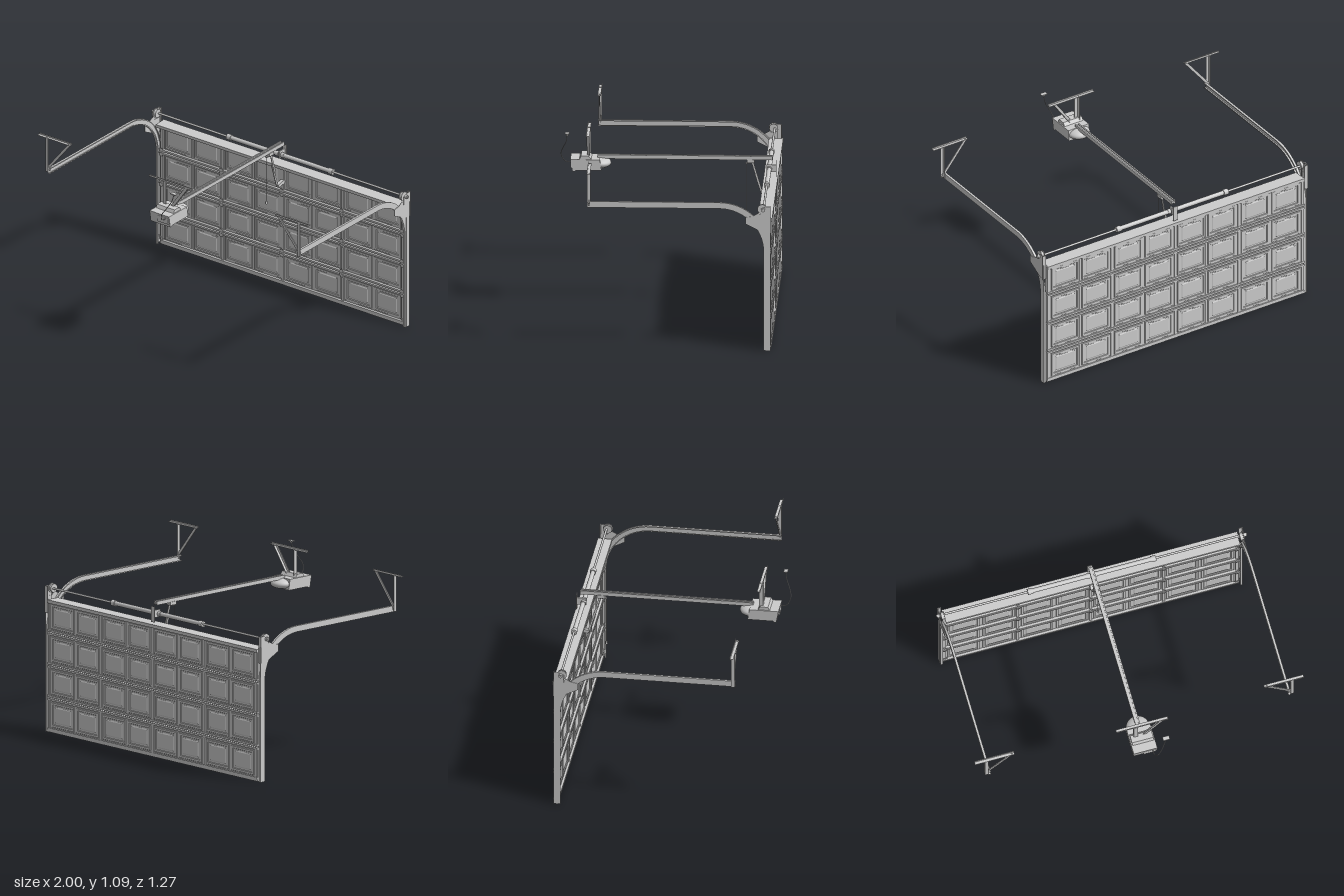
import * as THREE from 'three';
import { toCreasedNormals } from 'three/addons/utils/BufferGeometryUtils.js';

const grey = new THREE.MeshStandardMaterial({ color: 0xcccccc, side: THREE.DoubleSide });
const V = (x, y, z) => new THREE.Vector3(x, y, z);

function add(parent, name, geo, x = 0, y = 0, z = 0) {
  const m = new THREE.Mesh(geo, grey);
  m.name = name;
  m.position.set(x, y, z);
  parent.add(m);
  return m;
}
function group(parent, name) {
  const g = new THREE.Group();
  g.name = name;
  parent.add(g);
  return g;
}
// Box given by its limits on each axis
function box(parent, name, x0, x1, y0, y1, z0, z1) {
  return add(parent, name, new THREE.BoxGeometry(x1 - x0, y1 - y0, z1 - z0),
    (x0 + x1) / 2, (y0 + y1) / 2, (z0 + z1) / 2);
}
// Cylinder lying along x
function rod(parent, name, x0, x1, y, z, r0, r1 = r0, sides = 20) {
  const geo = new THREE.CylinderGeometry(r1, r0, x1 - x0, sides).rotateZ(-Math.PI / 2);
  return add(parent, name, geo, (x0 + x1) / 2, y, z);
}
const poly = pts => new THREE.Shape(pts.map(p => new THREE.Vector2(...p)));
const rect = (w, h) => poly([[-w / 2, -h / 2], [w / 2, -h / 2], [w / 2, h / 2], [-w / 2, h / 2]]);

// Plate outlined in (z, y), thick along x between x0 and x1
function sidePlate(parent, name, pts, x0, x1) {
  const geo = new THREE.ExtrudeGeometry(poly(pts.map(([z, y]) => [-z, y])), { depth: x1 - x0, bevelEnabled: false });
  return add(parent, name, geo.rotateY(Math.PI / 2), x0, 0, 0);
}
// L-section bar from a to b
function angleBar(parent, name, a, b, w = 0.02, h = 0.02, t = 0.003) {
  const s = poly([[-w / 2, -h / 2], [w / 2, -h / 2], [w / 2, -h / 2 + t], [-w / 2 + t, -h / 2 + t], [-w / 2 + t, h / 2], [-w / 2, h / 2]]);
  const m = add(parent, name, new THREE.ExtrudeGeometry(s, { depth: a.distanceTo(b), bevelEnabled: false }), a.x, a.y, a.z);
  m.lookAt(b);
  return m;
}
function strap(parent, name, a, b, w, d) {
  const m = add(parent, name, new THREE.BoxGeometry(w, a.distanceTo(b), d));
  m.position.copy(a).lerp(b, 0.5);
  m.quaternion.setFromUnitVectors(V(0, 1, 0), b.clone().sub(a).normalize());
  return m;
}

// Channel section swept up the wall, round the bend and back along the ceiling
function trackGeometry(side) {
  const section = [[0.905, -0.011], [0.905, -0.018], [0.919, -0.018], [0.919, 0.018], [0.905, 0.018], [0.905, 0.011]];
  const zc = -0.325, yc = 0.598, r = 0.279, path = [[-0.604, 0, 0]];
  for (let i = 0; i <= 16; i++) {
    const a = i / 16 * Math.PI / 2;
    path.push([zc - r * Math.cos(a), yc + r * Math.sin(a), a]);
  }
  path.push([0.45, yc + r, Math.PI / 2]);
  const pos = [], idx = [], n = section.length;
  path.forEach(([z, y, a], i) => section.forEach(([x, o], j) => {
    pos.push(side * x, y + o * Math.sin(a), z - o * Math.cos(a));
    if (i && j) {
      const p = i * n + j, q = p - n;
      if (side > 0) idx.push(q - 1, p - 1, p, q - 1, p, q);
      else idx.push(q - 1, p, p - 1, q - 1, q, p);
    }
  }));
  const geo = new THREE.BufferGeometry();
  geo.setAttribute('position', new THREE.Float32BufferAttribute(pos, 3));
  geo.setIndex(idx);
  return toCreasedNormals(geo, 0.5);
}

function addDoor(root) {
  const door = group(root, 'door');
  const ring = rect(0.192, 0.145);
  ring.holes.push(rect(0.168, 0.121));
  const ringGeo = new THREE.ExtrudeGeometry(ring, { depth: 0.003, bevelEnabled: true, bevelThickness: 0.002, bevelSize: 0.002, bevelSegments: 1 });
  const fieldGeo = new THREE.ExtrudeGeometry(rect(0.125, 0.085), { depth: 0.001, bevelEnabled: true, bevelThickness: 0.003, bevelSize: 0.006, bevelSegments: 1 });
  const H = 0.1965;
  for (let row = 0; row < 4; row++) {
    const sec = group(door, 'doorSection'), y0 = 0.012 + row * H, y1 = y0 + H;
    box(sec, 'sectionSkin', -0.9, 0.9, y0 + 0.003, y1 - 0.003, -0.624, -0.613);
    // Raised panels on both faces
    for (const bay of [-0.665, -0.218, 0.223, 0.665]) for (const s of [-1, 1]) {
      const x = bay + s * 0.107, y = y0 + H / 2;
      for (const [geo, name] of [[ringGeo, 'panelFrame'], [fieldGeo, 'panelField']]) {
        add(sec, name, geo, x, y, -0.613);
        add(sec, name, geo, x, y, -0.624).rotation.y = Math.PI;
      }
    }
    // Edge rails, stiles and back lips
    for (const y of [y0 + 0.004, y1 - 0.016]) {
      box(sec, 'edgeRail', -0.9, 0.9, y, y + 0.012, -0.613, -0.597);
      box(sec, 'backLip', -0.9, 0.9, y, y + 0.012, -0.631, -0.624);
    }
    for (const x of [-0.89, -0.444, 0, 0.444, 0.89]) {
      box(sec, 'stile', x - 0.009, x + 0.009, y0 + 0.016, y1 - 0.016, -0.613, -0.604);
      box(sec, 'backStile', x - 0.008, x + 0.008, y0 + 0.016, y1 - 0.016, -0.629, -0.624);
      // Hinges and rollers across each joint
      if (row < 3) {
        box(sec, 'hingeLeaf', x - 0.011, x + 0.011, y1 - 0.025, y1 + 0.025, -0.597, -0.594);
        rod(sec, 'hingePin', x - 0.012, x + 0.012, y1, -0.593, 0.005, 0.005, 10);
      }
    }
    for (const s of [-1, 1]) {
      const yr = row ? y0 : 0.04;
      rod(sec, 'rollerStem', s < 0 ? -0.914 : 0.87, s < 0 ? -0.87 : 0.914, yr, -0.604, 0.003, 0.003, 8);
      rod(sec, 'roller', s * 0.912 - 0.004, s * 0.912 + 0.004, yr, -0.604, 0.012);
    }
  }
  box(door, 'bottomSeal', -0.9, 0.9, 0.002, 0.016, -0.626, -0.6);
  // Deep stiffener along the top edge
  box(door, 'topStrutWeb', -0.895, 0.895, 0.793, 0.797, -0.634, -0.552);
  box(door, 'topStrutLip', -0.895, 0.895, 0.778, 0.797, -0.555, -0.551);
  box(door, 'topBackLip', -0.9, 0.9, 0.777, 0.797, -0.635, -0.624);
}

function addSide(root, s) {
  const g = group(root, s > 0 ? 'leftTrackAssembly' : 'rightTrackAssembly');
  const sb = (name, x0, x1, ...r) => box(g, name, Math.min(s * x0, s * x1), Math.max(s * x0, s * x1), ...r);
  const plate = (name, pts, x) => sidePlate(g, name, pts, s * x - 0.0015, s * x + 0.0015);
  add(g, 'track', trackGeometry(s));
  sb('jambAngle', 0.919, 0.922, 0, 0.72, -0.626, -0.598);
  // Flag bracket and shaft bearing plate
  plate('flagBracket', [[-0.48, 0.768], [-0.585, 0.715], [-0.628, 0.715], [-0.628, 0.812], [-0.575, 0.812], [-0.555, 0.835], [-0.52, 0.815], [-0.48, 0.808]], 0.922);
  plate('bearingPlate', [[-0.565, 0.81], [-0.622, 0.81], [-0.622, 0.875], [-0.6, 0.875], [-0.565, 0.86]], 0.926);
  sb('bearingFlange', 0.905, 0.93, 0.715, 0.875, -0.626, -0.622);
  rod(g, 'bearing', s * 0.934 - 0.006, s * 0.934 + 0.006, 0.857, -0.583, 0.012);
  // Cable drum with rims
  for (const [x, w, r] of [[0.909, 0.009, 0.022], [0.918, 0.002, 0.029], [0.9, 0.002, 0.026]])
    rod(g, 'cableDrum', s * x - w, s * x + w, 0.857, -0.578, r, r, 24);
  strap(g, 'liftCable', V(s * 0.902, 0.03, -0.598), V(s * 0.902, 0.855, -0.598), 0.003, 0.003);
  // Ceiling hanger at the end of the track
  const z = 0.438;
  angleBar(g, 'hangerTop', V(s * 0.76, 1.087, z), V(s, 1.087, z), 0.02, 0.012);
  angleBar(g, 'hangerUpright', V(s * 0.93, 0.865, z), V(s * 0.93, 1.085, z));
  strap(g, 'hangerBrace', V(s * 0.93, 0.885, z), V(s * 0.77, 1.083, z), 0.016, 0.006);
  rod(g, 'hangerBolt', s * 0.925 - 0.013, s * 0.925 + 0.013, 0.877, z, 0.005, 0.005, 6);
}

function addTorsionShaft(root) {
  const g = group(root, 'torsionShaft'), y = 0.856, z = -0.585;
  rod(g, 'shaft', -0.945, 0.945, y, z, 0.0065);
  for (const s of [-1, 1]) {
    rod(g, 'spring', Math.min(s * 0.02, s * 0.36), Math.max(s * 0.02, s * 0.36), y, z, 0.0135);
    rod(g, 'windingCone', s * 0.375 - 0.015, s * 0.375 + 0.015, y, z, 0.018);
    rod(g, 'fixedCone', s * 0.02 - 0.01, s * 0.02 + 0.01, y, z, 0.016);
  }
  box(g, 'centreBracket', -0.004, 0.004, 0.835, 0.88, -0.625, -0.57);
  box(g, 'centrePlate', -0.015, 0.015, 0.81, 0.905, -0.628, -0.624);
}

function addOpener(root) {
  const g = group(root, 'opener');
  // Motor housing with a domed nose
  sidePlate(g, 'motorHousing', [[0.578, 0.918], [0.405, 0.918], [0.395, 0.853], [0.545, 0.853], [0.55, 0.846], [0.565, 0.846]], -0.072, 0.072);
  const nose = add(g, 'housingNose', new THREE.SphereGeometry(1, 28, 14), 0, 0.885, 0.41);
  nose.scale.set(0.07, 0.032, 0.07);
  sidePlate(g, 'mountingFoot', [[0.525, 0.918], [0.515, 0.938], [0.47, 0.938], [0.455, 0.918]], -0.065, 0.065);
  box(g, 'lightLens', -0.012, 0.064, 0.866, 0.905, 0.56, 0.577);
  // Rail: twin strips joined by a web
  for (const s of [-1, 1]) box(g, 'railSide', s * 0.01 - 0.004, s * 0.01 + 0.004, 0.91, 0.933, -0.605, 0.42);
  box(g, 'railWeb', -0.01, 0.01, 0.917, 0.927, -0.605, 0.42);
  // Trolley, door arm and release cord
  box(g, 'trolley', -0.018, 0.018, 0.893, 0.913, -0.5, -0.455);
  strap(g, 'doorArmUpper', V(0.004, 0.895, -0.487), V(0.004, 0.76, -0.527), 0.006, 0.012);
  strap(g, 'doorArmLower', V(-0.003, 0.82, -0.507), V(-0.003, 0.655, -0.558), 0.006, 0.012);
  strap(g, 'armBracket', V(0, 0.66, -0.556), V(0, 0.675, -0.613), 0.022, 0.02);
  box(g, 'cordTab', -0.006, 0.006, 0.886, 0.893, -0.478, -0.447);
  strap(g, 'releaseCord', V(0, 0.888, -0.45), V(0, 0.6, -0.45), 0.003, 0.003);
  add(g, 'cordHandle', new THREE.CylinderGeometry(0.006, 0.008, 0.016, 12), 0, 0.594, -0.45);
  // Ceiling hanger
  const z = 0.472;
  angleBar(g, 'hangerTop', V(-0.15, 1.087, z), V(0.165, 1.087, z), 0.02, 0.012);
  angleBar(g, 'hangerUpright', V(-0.033, 0.925, z), V(-0.033, 1.085, z), 0.024, 0.024);
  angleBar(g, 'hangerBrace', V(0.012, 0.925, z), V(0.125, 1.083, z), 0.018, 0.018);
  // Power lead and ceiling plug
  const lead = new THREE.CatmullRomCurve3([V(0.045, 0.895, 0.57), V(0.045, 0.905, 0.61), V(0.06, 0.95, 0.632), V(0.085, 0.99, 0.622), V(0.11, 1.04, 0.6), V(0.12, 1.082, 0.594)]);
  add(g, 'powerLead', new THREE.TubeGeometry(lead, 40, 0.0025, 8));
  box(g, 'plugPlate', 0.1, 0.14, 1.087, 1.092, 0.582, 0.606);
  add(g, 'plug', new THREE.CylinderGeometry(0.01, 0.005, 0.012, 12), 0.12, 1.081, 0.594);
}

export function createModel() {
  const root = new THREE.Group();
  root.name = 'garageDoor';
  addDoor(root);
  for (const s of [-1, 1]) addSide(root, s);
  addTorsionShaft(root);
  addOpener(root);
  return root;
}
